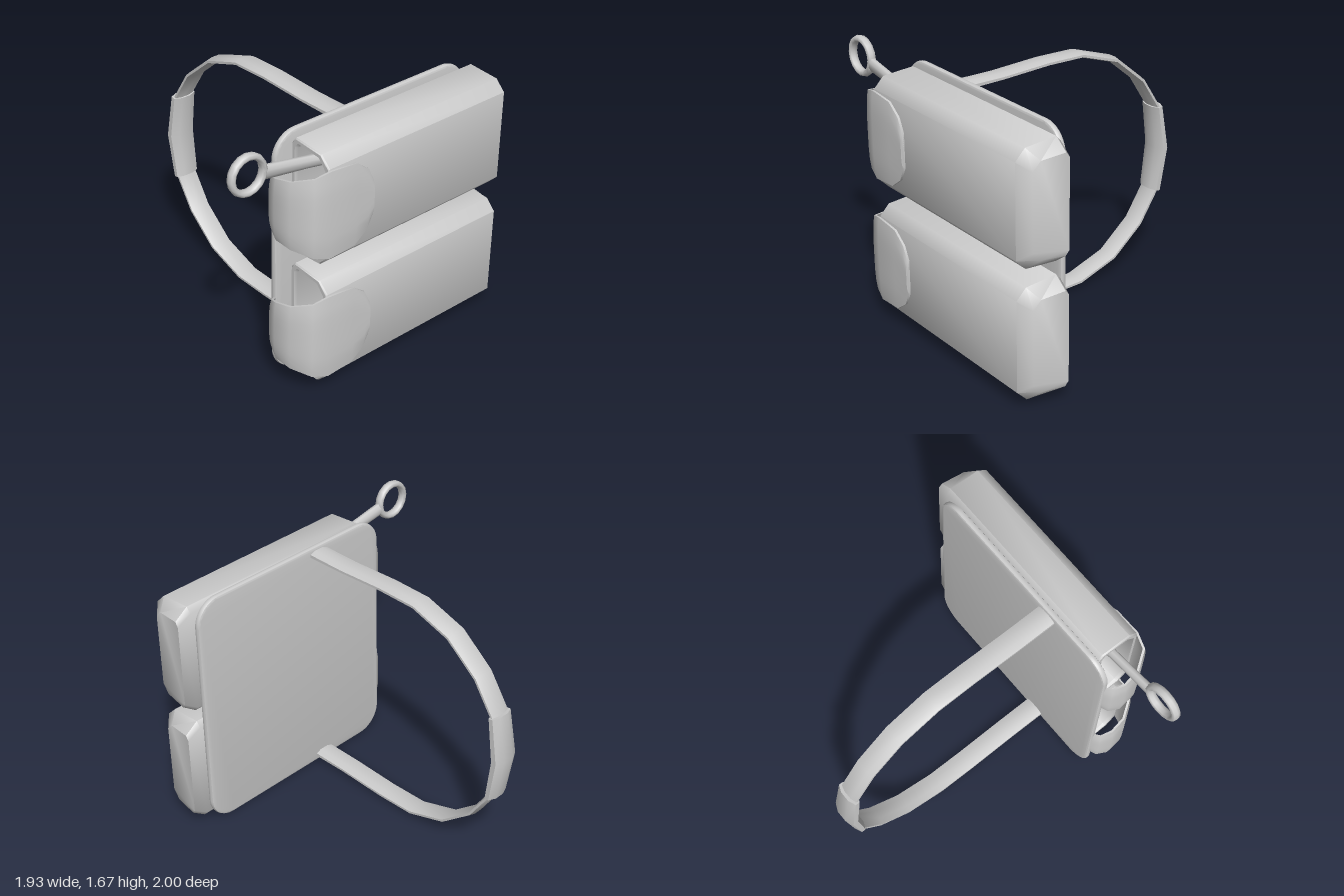
import * as THREE from 'three';
import { toCreasedNormals, mergeVertices } from 'three/addons/utils/BufferGeometryUtils.js';

const material = new THREE.MeshStandardMaterial({ color: 0xcccccc, side: THREE.DoubleSide });
const V = (x, y, z) => new THREE.Vector3(x, y, z);

function part(name, geometry, crease = 0.9) {
  const mesh = new THREE.Mesh(toCreasedNormals(geometry, crease), material);
  mesh.name = name;
  return mesh;
}

// Skin over equal-length closed rings, counter-clockwise about the direction of travel.
function loft(rings) {
  const n = rings[0].length, pos = [], idx = [];
  rings.forEach(r => r.forEach(p => pos.push(p.x, p.y, p.z)));
  for (let k = 0; k < rings.length - 1; k++) {
    for (let i = 0; i < n; i++) {
      const j = (i + 1) % n, a = k * n, b = a + n;
      idx.push(a + i, a + j, b + j, a + i, b + j, b + i);
    }
  }
  const last = (rings.length - 1) * n;
  for (let i = 1; i < n - 1; i++) {
    idx.push(0, i + 1, i, last, last + i, last + i + 1);
  }
  const g = new THREE.BufferGeometry();
  g.setAttribute('position', new THREE.Float32BufferAttribute(pos, 3));
  g.setIndex(idx);
  return mergeVertices(g);
}

const tangent = (path, i) => path[Math.min(i + 1, path.length - 1)].clone()
  .sub(path[Math.max(i - 1, 0)]).normalize();

// Oval band following a path; size(i) gives half width along "side" and half thickness.
function band(path, side, size, sides = 8) {
  return loft(path.map((p, i) => {
    const v = tangent(path, i).cross(side).normalize(), [w, h] = size(i);
    return Array.from({ length: sides }, (_, k) => {
      const a = (k + 0.5) / sides * Math.PI * 2, r = 1 / Math.cos(Math.PI / sides);
      return p.clone().addScaledVector(side, Math.cos(a) * w * r).addScaledVector(v, Math.sin(a) * h * r);
    });
  }));
}

// Rounded back plate
function plate() {
  const bevel = 0.014, w = 0.735 - bevel, h = 0.8 - bevel, r = 0.15;
  const s = new THREE.Shape();
  s.absarc(w - r, h - r, r, 0, Math.PI / 2);
  s.absarc(r - w, h - r, r, Math.PI / 2, Math.PI);
  s.absarc(r - w, r - h, r, Math.PI, Math.PI * 1.5);
  s.absarc(w - r, r - h, r, Math.PI * 1.5, Math.PI * 2);
  const g = new THREE.ExtrudeGeometry(s, {
    depth: 0.04 - 2 * bevel, bevelEnabled: true, bevelSize: bevel, bevelThickness: bevel, bevelSegments: 2, curveSegments: 6
  });
  g.rotateY(-Math.PI / 2).translate(0.62 - bevel, 0.8, -0.165);
  return part('backPlate', g, 0.6);
}

// Hollow pouch, open at the front with a bevelled back end
function pouch() {
  const outline = [[0.63, -0.33], [0.66, -0.365], [0.865, -0.35], [0.93, -0.285],
    [0.93, 0.285], [0.865, 0.35], [0.66, 0.365], [0.63, 0.33]];
  const ring = (z, inset, insetIn = inset, slope = 0) => outline.map(([x, y]) => {
    const t = (x - 0.63) / 0.3;
    return V(x - inset * t + insetIn * (1 - t), y * (1 - inset / 0.365), z + slope * t);
  });
  return part('pouch', loft([
    ring(-1, 0.065, 0.01, 0.025), ring(-0.91, 0), ring(0.45, 0), ring(0.46, 0.006),
    ring(0.46, 0.026), ring(0.44, 0.034), ring(-0.85, 0.034)
  ]), 0.85);
}

// Thin curved flap wrapping the pouch mouth: x, z, half height
function flap() {
  const rows = [[0.6, 0.57, 0.15], [0.625, 0.612, 0.165], [0.7, 0.64, 0.195], [0.81, 0.625, 0.215],
    [0.92, 0.55, 0.25], [0.948, 0.45, 0.277], [0.952, 0.27, 0.262], [0.953, 0.18, 0.195], [0.953, 0.14, 0.11]];
  const path = rows.map(([x, z]) => V(x, 0, z)), up = V(0, 1, 0), steps = 8;
  const rings = path.map((p, i) => {
    const out = tangent(path, i).cross(up).normalize();
    const edge = d => Array.from({ length: steps + 1 }, (_, k) => {
      const s = k / steps * 2 - 1;
      return p.clone().addScaledVector(up, s * rows[i][2]).addScaledVector(out, d - 0.012 * s ** 4);
    });
    return [...edge(-0.007), ...edge(0.007).reverse()];
  });
  return part('flap', loft(rings), 0.9);
}

// Shoulder strap with a thicker grip pad
function strap() {
  const half = [[0.6, 1.555], [0.33, 1.555], [0, 1.568], [-0.26, 1.562], [-0.53, 1.472], [-0.745, 1.293], [-0.88, 1.085]];
  const top = half.map(([x, y]) => V(x, y, 0.06));
  const bottom = half.map(([x, y]) => V(x, 1.6 - y, 0.06)).reverse();
  const g = new THREE.Group();
  g.name = 'shoulderStrap';
  const path = [...top, V(-0.928, 0.8, 0.06), ...bottom];
  g.add(part('strapBand', band(path, V(0, 0, 1), i => [0.068, i === 0 || i === path.length - 1 ? 0.025 : 0.018]), 1.1));
  const pad = [V(-0.882, 1.09, 0.06), V(-0.926, 0.8, 0.06), V(-0.882, 0.51, 0.06)];
  g.add(part('strapPad', band(pad, V(0, 0, 1), i => [i === 1 ? 0.088 : 0.08, i === 1 ? 0.041 : 0.034]), 0.9));
  return g;
}

// Ring-ended tool sitting in the upper pouch
function tool() {
  const g = new THREE.Group();
  g.name = 'ringTool';
  const ring = new THREE.TorusGeometry(0.108, 0.021, 8, 16);
  ring.scale(1, 1, 1.4).rotateY(Math.PI / 2).translate(0.75, 1.54, 0.87);
  g.add(part('pullRing', ring, 1.2));
  const path = [V(0.75, 1.518, 0.775), V(0.75, 1.463, 0.46), V(0.75, 1.43, 0.25), V(0.75, 1.38, -0.1)];
  const size = [[0.042, 0.024], [0.036, 0.024], [0.036, 0.05], [0.036, 0.055]];
  g.add(part('toolHandle', band(path, V(0, 1, 0), i => size[i]), 1.1));
  return g;
}

export function createModel() {
  const model = new THREE.Group();
  model.name = 'pouchPack';
  model.add(plate(), strap(), tool());
  [['upper', 1.207], ['lower', 0.395]].forEach(([level, y]) => {
    const g = new THREE.Group();
    g.name = level + 'Pouch';
    g.position.y = y;
    g.add(pouch(), flap());
    model.add(g);
  });
  return model;
}
